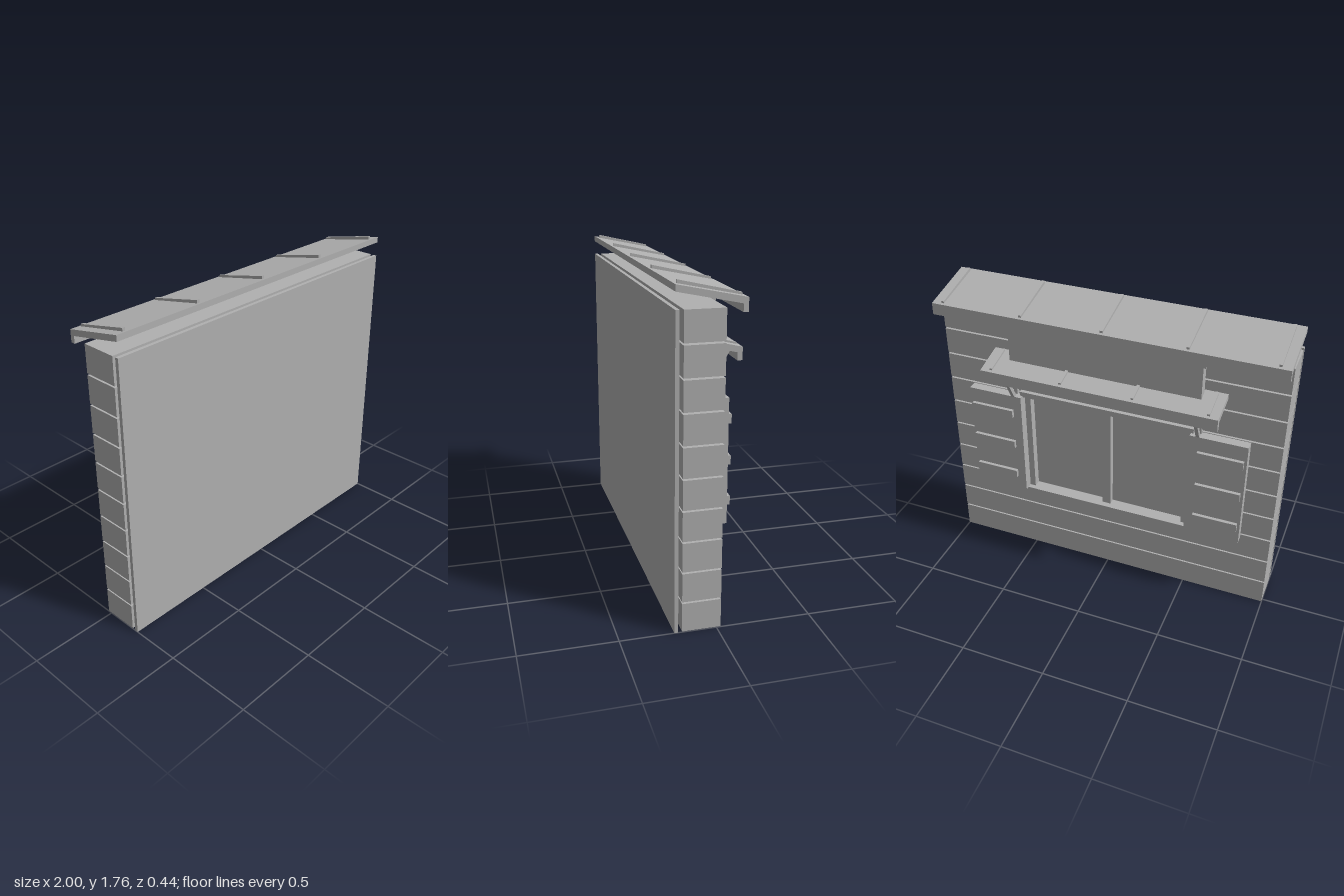
import * as THREE from 'three';

export function createModel() {
  const model = new THREE.Group();
  model.name = 'wallWithWindow';
  const grey = new THREE.MeshStandardMaterial({ color: 0xb0b0b0 });
  grey.name = 'plainGrey';

  const add = (name, geometry) => {
    const mesh = new THREE.Mesh(geometry, grey);
    mesh.name = name;
    model.add(mesh);
    return mesh;
  };

  // Box given by its limits on each axis
  const box = (name, x0, x1, y0, y1, z0, z1) =>
    add(name, new THREE.BoxGeometry(x1 - x0, y1 - y0, z1 - z0)
      .translate((x0 + x1) / 2, (y0 + y1) / 2, (z0 + z1) / 2));

  // Side profile of [z, y] points swept along x
  const sweep = (name, points, x, width) => {
    const shape = new THREE.Shape(points.map(([z, y]) => new THREE.Vector2(-z, y)));
    const g = new THREE.ExtrudeGeometry(shape, { depth: width, bevelEnabled: false });
    return add(name, g.rotateY(Math.PI / 2).translate(x - width / 2, 0, 0));
  };

  // Inner wall panel
  box('innerPanel', -1, 1, 0, 1.63, 0.2, 0.22);

  // Horizontal cladding boards, split around the window opening
  const pitch = 0.1637;
  for (let i = 0; i < 10; i++) {
    const y0 = i * pitch + 0.003, y1 = y0 + 0.154;
    if (i >= 3 && i <= 6) {
      box('boardLeft', 0.5, 1, y0, y1, -0.022, 0.18);
      box('boardRight', -1, -0.5, y0, y1, -0.022, 0.18);
    } else {
      box('board', -1, 1, y0, y1, -0.022, 0.18);
    }
  }

  // Window
  box('windowPane', -0.48, 0.48, 0.485, 1.13, 0.0, 0.02);
  box('windowMullion', -0.025, 0.025, 0.485, 1.145, -0.04, 0.0);
  box('windowSill', -0.52, 0.52, 0.46, 0.487, -0.075, 0.02);
  box('windowHead', -0.52, 0.52, 1.145, 1.178, -0.075, -0.02);

  for (const s of [-1, 1]) {
    const side = (name, a, b, ...rest) =>
      box(name, Math.min(a * s, b * s), Math.max(a * s, b * s), ...rest);
    side('windowPost', 0.47, 0.515, 0.487, 1.145, -0.045, 0.025);
    side('openingLiner', 0.48, 0.5, 0.49, 1.14, 0.025, 0.18);

    // Shutter with three raised slats
    side('shutter', 0.505, 0.83, 0.485, 1.152, -0.1, -0.045);
    for (const y of [0.58, 0.797, 1.014]) {
      side('shutterSlat', 0.555, 0.815, y, y + 0.048, -0.12, -0.1);
    }

    // Awning bracket: upright and diagonal strut
    side('bracketUpright', 0.54, 0.56, 1.15, 1.375, -0.065, -0.045);
    sweep('bracketStrut', [[-0.08, 1.155], [-0.105, 1.155], [-0.2, 1.335], [-0.18, 1.342]],
      0.55 * s, 0.02);
  }

  // Plain board above the awning, with its cap
  box('headBoard', -0.555, 0.555, 1.37, 1.585, -0.1, -0.045);
  box('headBoardCap', -0.57, 0.57, 1.583, 1.605, -0.107, -0.05);

  // Sloping canopy with a drop lip and thin ribs
  sweep('awning', [[-0.025, 1.41], [-0.025, 1.377], [-0.19, 1.337], [-0.19, 1.295],
    [-0.217, 1.295], [-0.217, 1.364]], 0, 1.36);
  for (let i = 0; i < 4; i++) {
    sweep('awningRib', [[-0.035, 1.418], [-0.035, 1.4], [-0.2, 1.36], [-0.2, 1.378]],
      -0.623 + i * 0.4153, 0.016);
  }

  sweep('roof', [[0.22, 1.745], [0.22, 1.712], [-0.1, 1.645], [-0.1, 1.605],
    [-0.125, 1.605], [-0.125, 1.673]], 0, 2);
  for (let i = 0; i < 5; i++) {
    sweep('roofRib', [[0.2, 1.758], [0.2, 1.73], [-0.11, 1.67], [-0.11, 1.688]],
      -0.94 + i * 0.47, 0.016);
  }

  return model;
}
